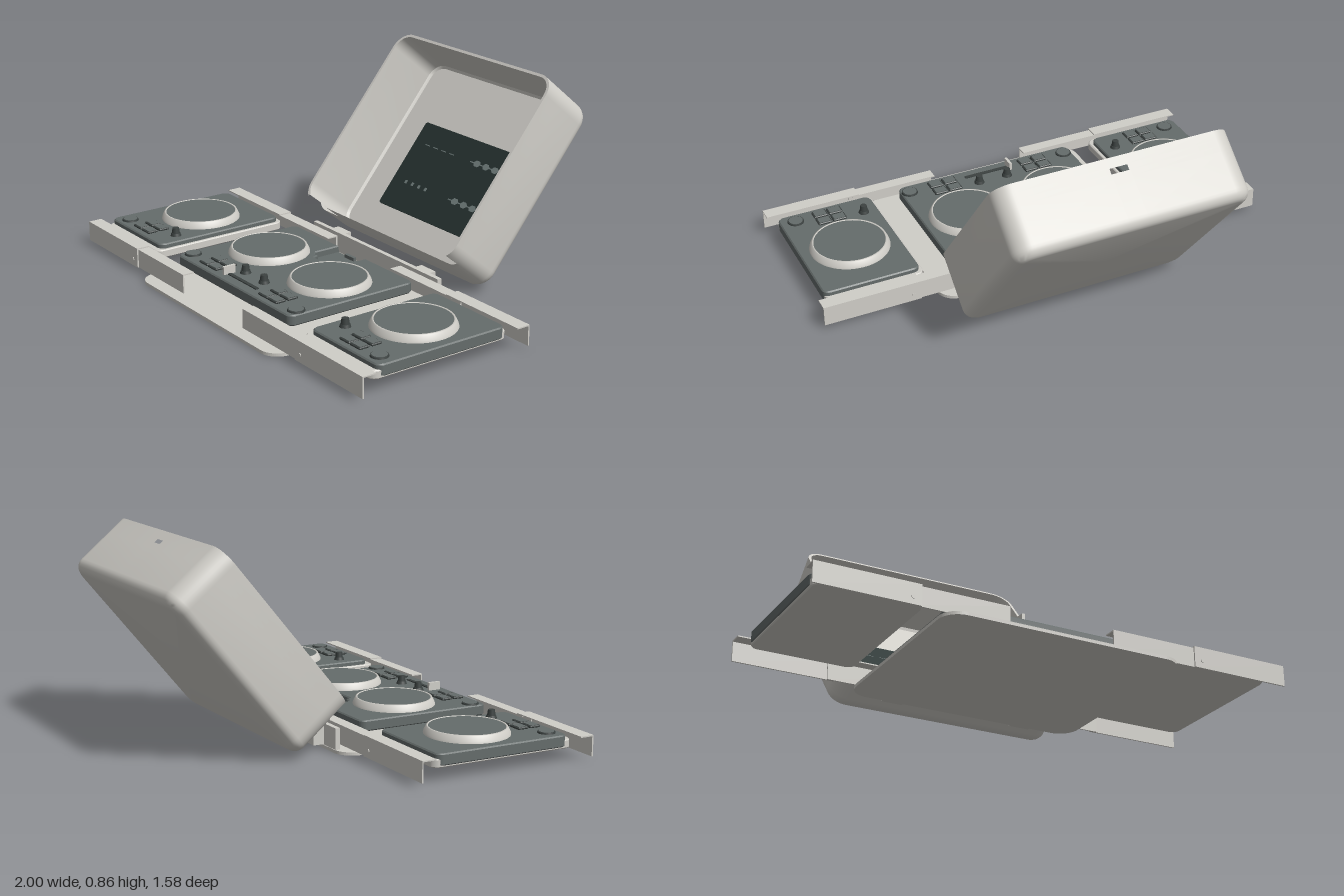
import * as THREE from 'three';
import { toCreasedNormals } from 'three/addons/utils/BufferGeometryUtils.js';

const mat = (name, color, side = THREE.FrontSide) => {
  const m = new THREE.MeshStandardMaterial({ color, side });
  m.name = name;
  return m;
};

// Rounded rectangle outline, counterclockwise, centred on the origin
function roundedRect(w, h, r) {
  const s = new THREE.Shape(), x = w / 2 - r, y = h / 2 - r;
  s.absarc(x, y, r, 0, Math.PI / 2);
  s.absarc(-x, y, r, Math.PI / 2, Math.PI);
  s.absarc(-x, -y, r, Math.PI, Math.PI * 1.5);
  s.absarc(x, -y, r, Math.PI * 1.5, Math.PI * 2);
  s.closePath();
  return s;
}

// Horizontal slab rising from y = 0, with an optional small chamfer
function slab(shape, h, bevel = 0) {
  const g = new THREE.ExtrudeGeometry(shape, {
    depth: h - 2 * bevel, bevelEnabled: bevel > 0, bevelSize: bevel, bevelOffset: -bevel,
    bevelThickness: bevel, bevelSegments: 1, curveSegments: 8,
  });
  return g.translate(0, 0, bevel).rotateX(-Math.PI / 2);
}

// One outline of the lid, pulled inwards by inset; extra points frame the latch slot
function lidRing(inset) {
  const r = 0.08 - inset, pts = [], n = 10;
  const corners = [[0.42, 0.75], [-0.42, 0.75], [-0.42, 0.05], [0.42, 0.05]];
  corners.forEach(([cx, cy], c) => {
    for (let k = 0; k <= n; k++) {
      const a = (c + k / n) * Math.PI / 2;
      pts.push([cx + r * Math.cos(a), cy + r * Math.sin(a)]);
    }
    if (c === 0) pts.push([0.04, 0.83 - inset], [-0.04, 0.83 - inset]);
  });
  return pts;
}

// Hollow lid: rings run from the inner floor, over the rim, to the rounded back
function lidGeometry() {
  const t = 0.012, R = 0.045, D = 0.285;
  const profile = [[null, 0.262], [t + 0.01, 0.262], [t, 0.252], [t, 0.088], [t, 0.064], [t, 0.038], [t, 0],
    [0, 0], [0, 0.038], [0, 0.064], [0, 0.088]];
  for (let k = 0; k <= 6; k++) {
    const a = k / 6 * Math.PI / 2;
    profile.push([R * (1 - Math.cos(a)), D - R + R * Math.sin(a)]);
  }
  profile.push([null, D]);
  const rings = profile.map(([inset, d]) => lidRing(inset ?? 0)
    .map(([x, y]) => inset === null ? [0, 0.4, -d] : [x, y, -d]));
  const pos = [];
  for (let j = 0; j < rings.length - 1; j++) {
    const a = rings[j], b = rings[j + 1];
    const d = (profile[j][1] + profile[j + 1][1]) / 2;
    for (let i = 0; i < a.length; i++) {
      const k = (i + 1) % a.length;
      const y = (a[i][1] + a[k][1]) / 2;
      const slot = y > 0.8 && Math.abs(a[i][0] + a[k][0]) < 0.001 && d > 0.04 && d < 0.06;
      const hingeCut = y < -0.002 && d < 0.088;
      if (slot || hingeCut) continue;
      if (profile[j][0] !== null) pos.push(...a[i], ...b[i], ...a[k]);
      if (profile[j + 1][0] !== null) pos.push(...a[k], ...b[i], ...b[k]);
    }
  }
  const g = new THREE.BufferGeometry();
  g.setAttribute('position', new THREE.Float32BufferAttribute(pos, 3));
  return toCreasedNormals(g, 0.6);
}

export function createModel() {
  const model = new THREE.Group();
  model.name = 'foldingDjCase';
  const shell = mat('shellGrey', 0xd0cec8);
  const shellThin = mat('shellGreyThin', 0xd0cec8, THREE.DoubleSide);
  const deckMat = mat('deckGrey', 0x656c6b);
  const dark = mat('controlDark', 0x3c4241);
  const screenMat = mat('screenDark', 0x253130);
  const wave = mat('waveGrey', 0x6f7b7a);

  const add = (name, geo, m, x = 0, y = 0, z = 0, parent = model) => {
    const o = new THREE.Mesh(geo, m);
    o.name = name;
    o.position.set(x, y, z);
    parent.add(o);
    return o;
  };
  const box = (name, w, h, d, m, x, y, z, parent) => add(name, new THREE.BoxGeometry(w, h, d), m, x, y, z, parent);

  // Base plate and hinge wall
  add('basePlate', slab(roundedRect(1, 0.865, 0.08), 0.013), shell, 0, 0, 0.3675);
  box('hingeWall', 0.86, 0.09, 0.02, shell, 0, 0.055, -0.052);
  for (const x of [-0.05, 0, 0.05]) {
    add('rearSocket', new THREE.CylinderGeometry(0.01, 0.01, 0.006, 16).rotateX(Math.PI / 2), dark, x, 0.05, -0.063);
  }

  // Telescoping rails: an upright with a flange folded towards the decks
  for (const s of [-1, 1]) {
    for (const [z, dir] of [[0.752, -1], [-0.02, 1]]) {
      box('outerRailWall', 0.42, 0.085, 0.006, shell, s * 0.79, 0.0625, z);
      box('outerRailFlange', 0.42, 0.005, 0.058, shell, s * 0.79, 0.1025, z + dir * 0.028);
      box('innerRailWall', 0.39, 0.08, 0.006, shell, s * 0.415, 0.06, z + dir * 0.006);
      box('innerRailFlange', 0.39, 0.005, 0.05, shell, s * 0.415, 0.0975, z + dir * 0.03);
      add('railScrew', new THREE.CylinderGeometry(0.008, 0.008, 0.006, 16).rotateX(Math.PI / 2),
        shell, s * 0.615, 0.05, z - dir * 0.003);
    }
    box('hingeBlock', 0.09, 0.075, 0.05, shell, s * 0.29, 0.052, -0.083);
  }

  // Centre deck with a stepped notch at the back
  const c = new THREE.Shape();
  const w = 0.413, h = 0.2975, r = 0.03;
  c.moveTo(-w, -h + r);
  c.absarc(-w + r, -h + r, r, Math.PI, Math.PI * 1.5);
  c.absarc(w - r, -h + r, r, Math.PI * 1.5, Math.PI * 2);
  c.absarc(w - r, h - r, r, 0, Math.PI / 2);
  for (const [x, y] of [[0.092, h], [0.092, 0.18], [0.08, 0.165], [0.06, 0.165], [0.05, 0.14],
    [-0.05, 0.14], [-0.06, 0.165], [-0.08, 0.165], [-0.096, 0.18], [-0.096, h]]) c.lineTo(x, y);
  c.absarc(-w + r, h - r, r, Math.PI / 2, Math.PI);
  c.closePath();
  add('centreDeck', slab(c, 0.045, 0.005), deckMat, 0, 0.065, 0.3625);
  box('notchFloor', 0.2, 0.015, 0.16, deckMat, 0, 0.0745, 0.147);
  box('notchCatch', 0.06, 0.015, 0.014, deckMat, 0, 0.089, 0.075);

  // Side decks in their light trays
  for (const s of [-1, 1]) {
    add('sideTray', slab(roundedRect(0.43, 0.635, 0.035), 0.035, 0.004), shell, s * 0.748, 0.055, 0.3675);
    add('sideDeck', slab(roundedRect(0.42, 0.595, 0.03), 0.048, 0.005), deckMat, s * 0.757, 0.062, 0.3625);
  }

  // Jog wheels: a light sloping ring around a dark platter
  const ring = new THREE.LatheGeometry([[0.17, 0], [0.168, 0.008], [0.158, 0.028], [0.152, 0.03], [0.15, 0.026]]
    .map(p => new THREE.Vector2(...p)), 56);
  for (const x of [-0.755, -0.215, 0.215, 0.755]) {
    add('jogRing', ring, shellThin, x, 0.11, 0.335);
    add('jogPlatter', new THREE.CylinderGeometry(0.152, 0.152, 0.027, 56), deckMat, x, 0.1235, 0.335);
    // Pads: two rows of two
    const px = Math.sign(x) * (Math.abs(x) > 0.5 ? 0.757 : 0.218);
    for (const dx of [-0.033, 0.033]) {
      for (const dz of [-0.028, 0.028]) {
        add('pad', slab(roundedRect(0.062, 0.048, 0.005), 0.01, 0.003), dark, px + dx, 0.109, 0.583 + dz);
        box('padTop', 0.05, 0.003, 0.037, deckMat, px + dx, 0.119, 0.583 + dz);
      }
    }
    // Round cue button and a tall knob
    const cx = Math.sign(x) * (Math.abs(x) > 0.5 ? 0.9 : 0.375);
    add('cueRim', new THREE.CylinderGeometry(0.034, 0.036, 0.007, 24), dark, cx, 0.1125, 0.605);
    add('cueButton', new THREE.CylinderGeometry(0.03, 0.03, 0.004, 24), deckMat, cx, 0.116, 0.605);
    const kx = Math.sign(x) * (Math.abs(x) > 0.5 ? 0.612 : 0.067);
    add('knobSkirt', new THREE.CylinderGeometry(0.019, 0.023, 0.012, 20), dark, kx, 0.116, 0.547);
    add('knob', new THREE.CylinderGeometry(0.014, 0.017, 0.024, 20), dark, kx, 0.133, 0.547);
  }

  // Crossfader
  box('faderSlot', 0.21, 0.006, 0.016, dark, 0.005, 0.111, 0.607);
  box('faderHandle', 0.012, 0.034, 0.055, shell, -0.1, 0.128, 0.605);

  // Lid leaning back, with the screen on its floor
  const lid = new THREE.Group();
  lid.name = 'lid';
  lid.position.set(0, 0.22, -0.05);
  lid.rotation.x = -0.692;
  model.add(lid);
  add('lidShell', lidGeometry(), shellThin, 0, 0, 0, lid);
  const screen = new THREE.ExtrudeGeometry(roundedRect(0.67, 0.416, 0.012), { depth: 0.008, bevelEnabled: false });
  add('screen', screen, screenMat, -0.003, 0.337, -0.263, lid);

  // Waveforms: faint dashes on the left, a chain of pulses on the right
  for (const y of [0.447, 0.259]) {
    for (let i = 0; i < 4; i++) {
      const upper = y > 0.4;
      box('waveDash', upper ? 0.03 : 0.014, upper ? 0.004 : 0.016, 0.002, wave,
        -0.25 + i * (upper ? 0.055 : 0.045), y, -0.2545, lid);
      const pulse = add('wavePulse', new THREE.CircleGeometry(1, 6), wave, 0.085 + i * 0.058, y, -0.2535, lid);
      pulse.scale.set(0.023, 0.016, 1);
    }
    box('waveLine', 0.26, 0.005, 0.002, wave, 0.17, y, -0.2545, lid);
  }
  return model;
}
